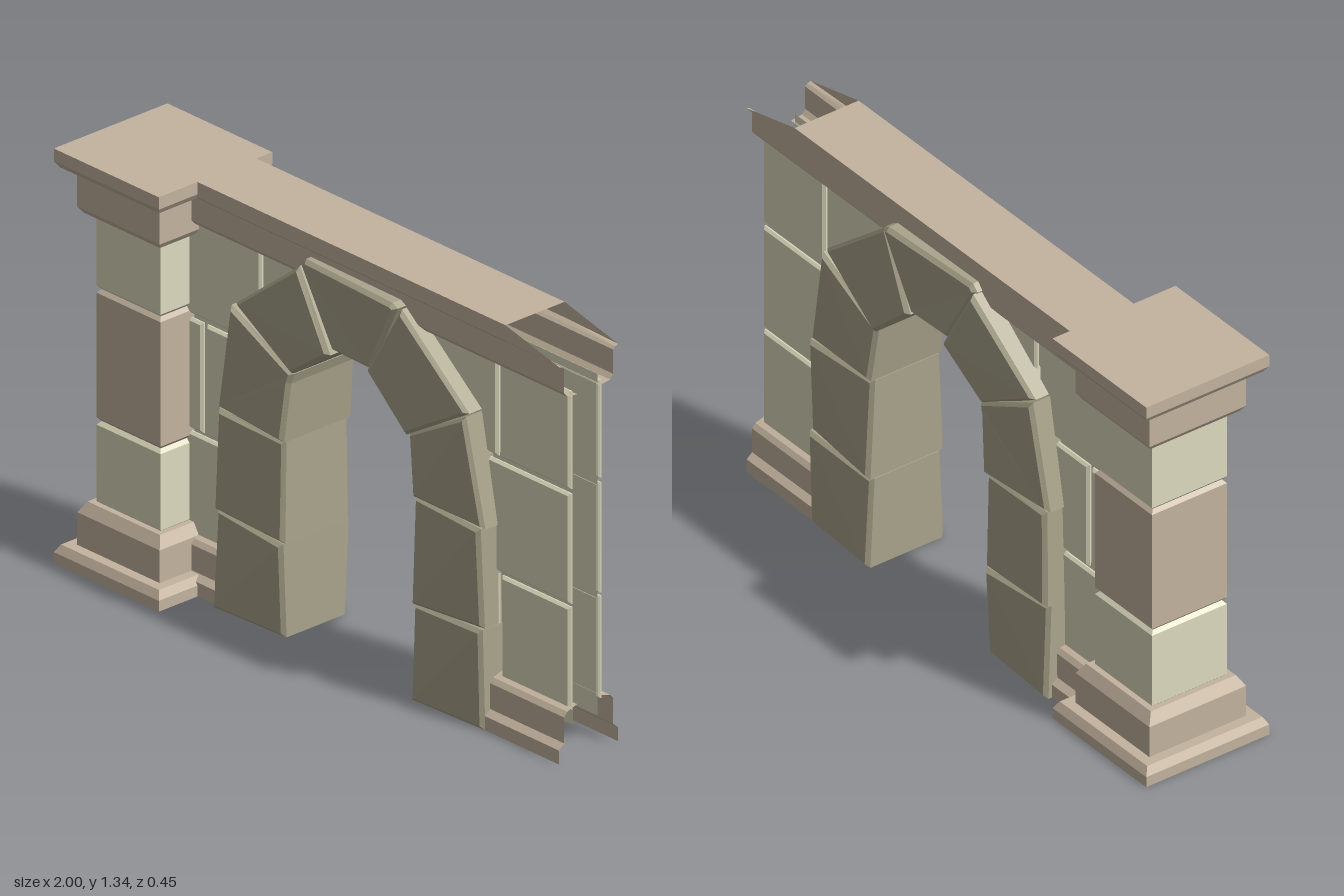
import * as THREE from 'three';

const TAN = 0xc4b49f, PALE = 0xdedbbf, STONE = 0xaaa58c;
const MID = -0.045; // centre plane of the wall in z

const material = (color) =>
  new THREE.MeshStandardMaterial({ color, flatShading: true, side: THREE.DoubleSide });
const tan = material(TAN), pale = material(PALE), stone = material(STONE);

function add(parent, name, geometry, mat) {
  const mesh = new THREE.Mesh(geometry, mat);
  mesh.name = name;
  parent.add(mesh);
  return mesh;
}

const shapeOf = (points) => new THREE.Shape(points.map(([x, y]) => new THREE.Vector2(x, y)));

// Bevelled slab from an outline in x,y, centred on z = 0
function slab(points, depth, bevel) {
  const geometry = new THREE.ExtrudeGeometry(shapeOf(points), {
    depth: depth - 2 * bevel, bevelEnabled: true, bevelThickness: bevel,
    bevelSize: bevel, bevelOffset: -bevel, bevelSegments: 1,
  });
  return geometry.translate(0, 0, bevel - depth / 2);
}

// Square-plan solid from a profile of [half width, y]
function squareTurned(profile) {
  const points = profile.map(([r, y]) => new THREE.Vector2(r * Math.SQRT2, y));
  return new THREE.LatheGeometry(points, 4).rotateY(Math.PI / 4);
}

// Moulding strip: profile of [z, y] carried along stations of [x, highest y]
function moulding(profile, stations, side) {
  const pos = [], index = [], n = profile.length;
  for (const [x, top] of stations)
    for (const [z, y] of profile) pos.push(x, Math.min(y, top), MID + side * (z - MID));
  for (let i = 0; i < stations.length - 1; i++)
    for (let j = 0; j < n - 1; j++) {
      const a = i * n + j, b = a + n, quad = [a, b, a + 1, b, b + 1, a + 1];
      index.push(...(side > 0 ? quad : quad.reverse()));
    }
  const geometry = new THREE.BufferGeometry();
  geometry.setAttribute('position', new THREE.Float32BufferAttribute(pos, 3));
  geometry.setIndex(index);
  const flat = geometry.toNonIndexed();
  flat.computeVertexNormals();
  return flat;
}

// Pillar: stepped base, three shaft blocks and a capital
function buildPillar() {
  const pillar = new THREE.Group();
  pillar.name = 'pillar';
  pillar.position.x = -0.775;
  add(pillar, 'pillarBase', squareTurned([
    [0, 0], [0.225, 0], [0.225, 0.035], [0.21, 0.06], [0.177, 0.06],
    [0.177, 0.165], [0.155, 0.2], [0, 0.2]]), tan);
  const courses = [[0.19, 0.46, pale], [0.46, 0.885, tan], [0.885, 1.14, pale]];
  for (const [y0, y1, mat] of courses)
    add(pillar, 'shaftBlock', squareTurned([
      [0, y0], [0.126, y0], [0.137, y0 + 0.012], [0.137, y1 - 0.012], [0.126, y1], [0, y1]]), mat);
  add(pillar, 'capital', squareTurned([
    [0, 1.13], [0.163, 1.13], [0.177, 1.15], [0.177, 1.275], [0.212, 1.275],
    [0.225, 1.295], [0.225, 1.335], [0, 1.335]]), tan);
  return pillar;
}

// Arch: straight jamb stones and five wedge stones
function buildArch() {
  const arch = new THREE.Group();
  arch.name = 'arch';
  const stones = [
    [[-0.465, 0], [-0.17, 0], [-0.168, 0.305], [-0.46, 0.32]],
    [[-0.46, 0.318], [-0.166, 0.305], [-0.166, 0.635], [-0.45, 0.645]],
    [[-0.457, 0.645], [-0.163, 0.635], [-0.142, 0.83], [-0.13, 0.865], [-0.39, 1.0]],
    [[-0.385, 1.003], [-0.14, 0.86], [0.035, 0.985], [-0.1, 1.225]],
    [[-0.105, 1.228], [0.03, 0.998], [0.2, 0.995], [0.322, 1.235], [0.3, 1.247], [-0.085, 1.25]],
    [[0.325, 1.23], [0.195, 0.995], [0.362, 0.845], [0.615, 0.995]],
    [[0.615, 0.99], [0.362, 0.85], [0.388, 0.655], [0.683, 0.645]],
    [[0.677, 0.65], [0.385, 0.655], [0.388, 0.31], [0.68, 0.325]],
    [[0.683, 0.325], [0.385, 0.31], [0.388, 0], [0.683, 0]],
  ];
  stones.forEach((points, i) => {
    const geometry = slab(points, 0.27, 0.012);
    // Gentle skew so that each stone face leans its own way
    const p = geometry.attributes.position;
    for (let k = 0; k < p.count; k++) {
      const lean = 0.008 * Math.sin(9 * p.getX(k) + 8 * p.getY(k) + i * 2.1);
      p.setZ(k, p.getZ(k) + Math.sign(p.getZ(k)) * lean);
    }
    geometry.computeVertexNormals();
    add(arch, 'archStone', geometry, stone).position.z = MID;
  });
  return arch;
}

// One face of the hollow wall: mortar sheet, blocks, cornice and plinth
function buildWallFace(side) {
  const face = new THREE.Group();
  face.name = side > 0 ? 'frontWall' : 'backWall';
  const mortar = [[-0.7, 0.1], [-0.32, 0.1], [-0.31, 0.65], [-0.24, 0.94], [0.0, 1.12],
    [0.23, 1.12], [0.48, 0.94], [0.53, 0.65], [0.53, 0.1], [0.985, 0.1],
    [0.985, 1.2], [-0.7, 1.2]];
  add(face, 'mortar', new THREE.ShapeGeometry(shapeOf(mortar)), pale)
    .position.z = MID + side * 0.048;
  const rect = (x0, x1, y0, y1) => [[x0, y0], [x1, y0], [x1, y1], [x0, y1]];
  const blocks = [
    rect(-0.69, -0.3, 0.155, 0.485),
    rect(-0.69, -0.585, 0.495, 0.85),
    [[-0.57, 0.495], [-0.32, 0.495], [-0.25, 0.85], [-0.57, 0.85]],
    [[-0.69, 0.865], [-0.335, 0.865], [-0.335, 1.18], [-0.69, 1.18]],
    [[-0.32, 0.95], [-0.24, 0.95], [0, 1.12], [0.23, 1.12], [0.46, 0.95],
      [0.53, 0.865], [0.68, 0.865], [0.68, 1.18], [-0.32, 1.18]],
    rect(0.695, 0.99, 0.865, 1.18),
    [[0.54, 0.495], [0.99, 0.495], [0.99, 0.85], [0.5, 0.85]],
    rect(0.695, 0.99, 0.155, 0.485),
    rect(0.54, 0.682, 0.155, 0.485),
  ];
  for (const points of blocks)
    add(face, 'wallBlock', slab(points, 0.02, 0.008), pale).position.z = MID + side * 0.057;

  // The cornice top slopes down at its open end
  const cornice = [[0, 1.17], [0.04, 1.175], [0.052, 1.19], [0.052, 1.268],
    [0.06, 1.276], [0.072, 1.285], [0.072, 1.335]];
  add(face, 'cornice', moulding(cornice, [[-0.75, 2], [0.77, 2], [1, 1.28]], side), tan);
  const plinth = [[0.072, 0], [0.072, 0.045], [0.052, 0.062], [0.052, 0.145],
    [0.04, 0.16], [0, 0.172]];
  for (const [x0, x1] of [[-0.75, -0.4], [0.6, 1]])
    add(face, 'plinth', moulding(plinth, [[x0, 2], [x1, 2]], side), tan);
  return face;
}

export function createModel() {
  const model = new THREE.Group();
  model.name = 'archedWall';
  model.add(buildPillar(), buildArch(), buildWallFace(1), buildWallFace(-1));
  // Flat top joining the two cornices
  const top = new THREE.PlaneGeometry(1.35, 0.234).rotateX(-Math.PI / 2);
  add(model, 'wallTop', top, tan).position.set(0.095, 1.335, MID);
  return model;
}
